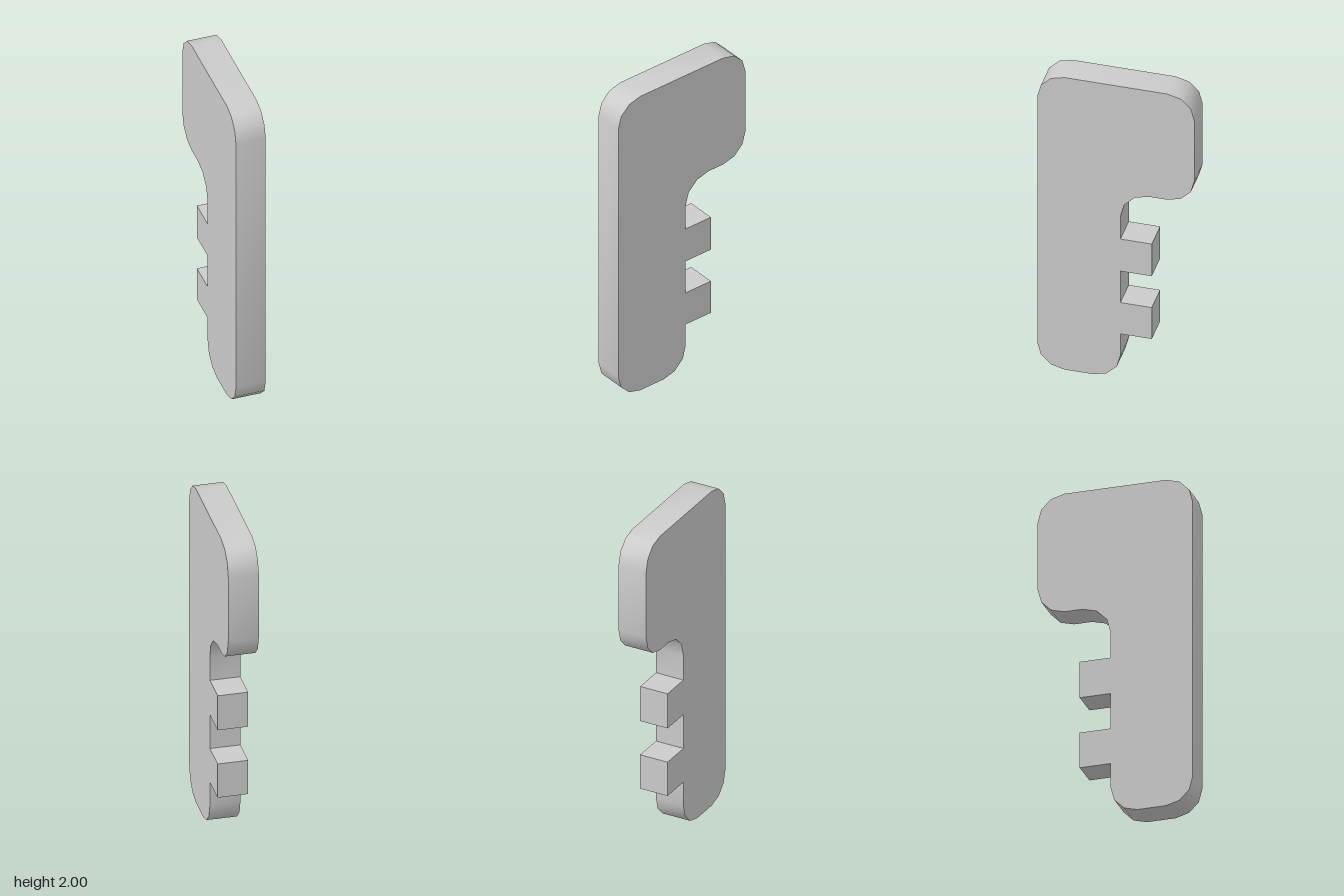
import * as THREE from 'three';
import { toCreasedNormals } from 'three/addons/utils/BufferGeometryUtils.js';

const THICKNESS = 0.175;
const R = 0.157; // radius of every rounded corner
const FRONT = -0.455, BACK = 0.452, STEM = 0.025, TOOTH = 0.206, HEAD_BOTTOM = 1.276;

// Quarter circle in three steps, angles in quarter turns
function corner(points, cx, cy, from, to, r = R) {
  for (let i = 0; i <= 3; i++) {
    const a = (from + (to - from) * i / 3) * Math.PI / 2;
    points.push(new THREE.Vector2(cx + r * Math.cos(a), cy + r * Math.sin(a)));
  }
}

// Side outline, counter-clockwise; horizontal axis runs from front to back
function outline() {
  const p = [];
  corner(p, FRONT + R, R, 2, 3); // stem foot
  corner(p, STEM - R, R, 3, 4);
  for (const [low, high] of [[0.305, 0.52], [0.735, 0.955]]) { // square teeth
    p.push(new THREE.Vector2(STEM, low), new THREE.Vector2(TOOTH, low),
      new THREE.Vector2(TOOTH, high), new THREE.Vector2(STEM, high));
  }
  corner(p, STEM + 0.165, HEAD_BOTTOM - 0.165, 2, 1, 0.165); // inner fillet under the head
  corner(p, BACK - R, HEAD_BOTTOM + R, -1, 0); // head
  corner(p, BACK - R, 2 - R, 0, 1);
  corner(p, FRONT + R, 2 - R, 1, 2);
  return new THREE.Shape(p);
}

export function createModel() {
  const group = new THREE.Group();
  group.name = 'key';

  // Flat plate, turned so that its thickness lies along x
  const plate = new THREE.ExtrudeGeometry(outline(), { depth: THICKNESS, bevelEnabled: false });
  plate.translate(0, 0, -THICKNESS / 2);
  plate.rotateY(Math.PI / 2);

  const body = new THREE.Mesh(
    toCreasedNormals(plate, 0.7),
    new THREE.MeshStandardMaterial({ color: 0xcccccc })
  );
  body.name = 'keyBody';
  group.add(body);
  return group;
}
